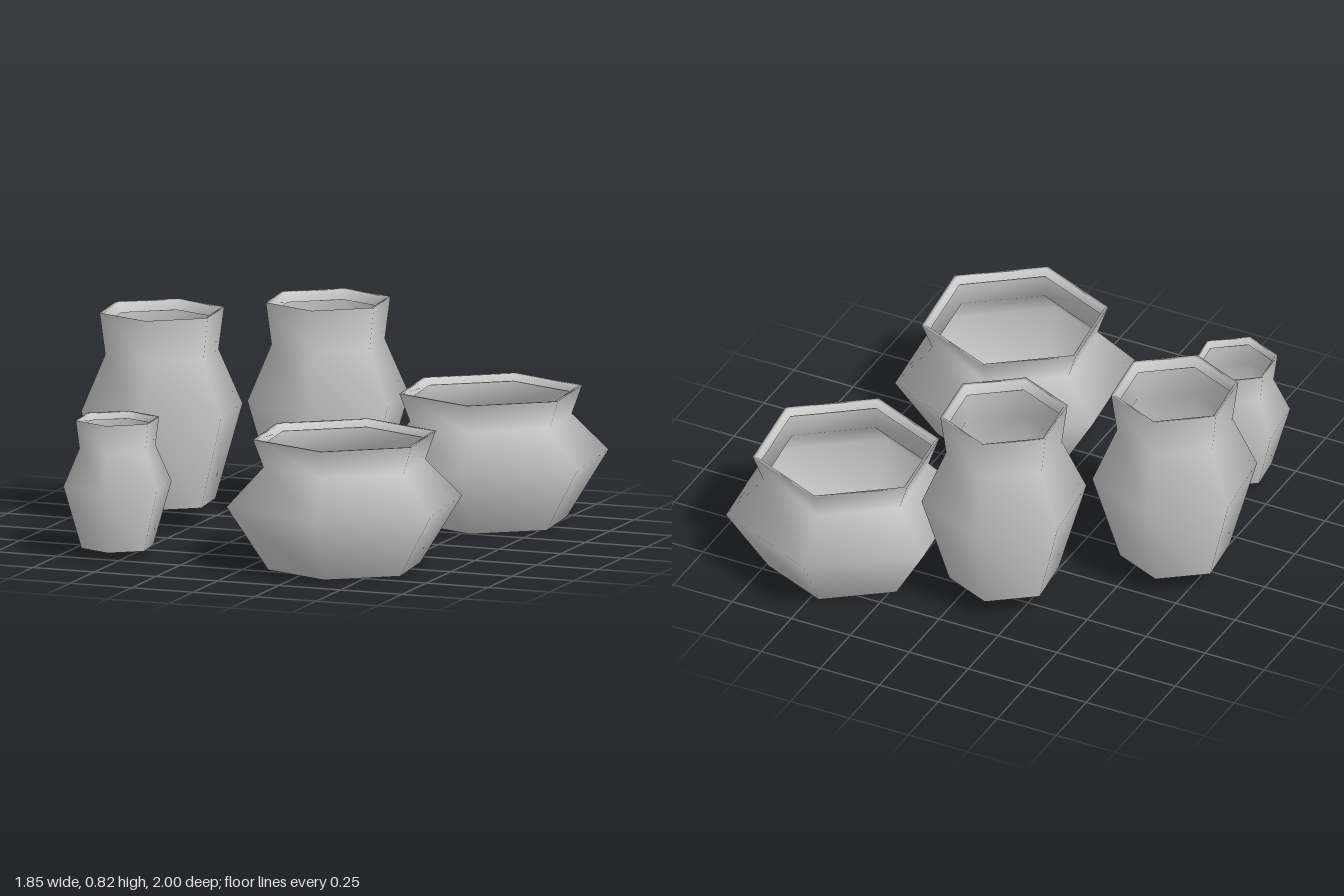
import * as THREE from 'three';

const material = new THREE.MeshStandardMaterial({ color: 0xcccccc, side: THREE.DoubleSide });
const TWIST = 0.117; // all pots share the same turn
const SIDES = 6;

// Hollow shells as [radius, height]: foot, belly, neck, rim, then the lip folded inward.
const bowl = [[0.298, 0], [0.461, 0.25], [0.317, 0.395], [0.358, 0.503], [0.343, 0.502], [0.328, 0.475]];
const vase = [[0.21, 0], [0.316, 0.36], [0.222, 0.573], [0.244, 0.735], [0.23, 0.732], [0.217, 0.695]];

// Smooth six-sided shell; the floor joins the foot corners so it shades softly with the wall.
function shellGeometry(profile) {
  const geometry = new THREE.LatheGeometry(
    profile.map(([r, h]) => new THREE.Vector2(r, h)), SIDES, TWIST);
  const index = Array.from(geometry.index.array);
  const n = profile.length;
  for (let i = 1; i < SIDES - 1; i++) index.push(0, (i + 1) * n, i * n);
  geometry.setIndex(index);
  return geometry;
}

function makePot(name, geometry, x, y, z, scale = 1) {
  const pot = new THREE.Mesh(geometry, material);
  pot.name = name;
  pot.position.set(x, y, z);
  pot.scale.setScalar(scale);
  return pot;
}

export function createModel() {
  const group = new THREE.Group();
  group.name = 'potGroup';
  const bowlShell = shellGeometry(bowl);
  const vaseShell = shellGeometry(vase);
  group.add(
    makePot('backBowl', bowlShell, 0.5, 0, -0.543),
    makePot('frontBowl', bowlShell, 0.333, 0, 0.539),
    makePot('backVase', vaseShell, -0.132, 0.083, -0.469),
    makePot('sideVase', vaseShell, -0.638, 0.083, -0.041),
    makePot('smallVase', vaseShell, -0.553, 0.03, 0.63, 0.67),
  );
  return group;
}
